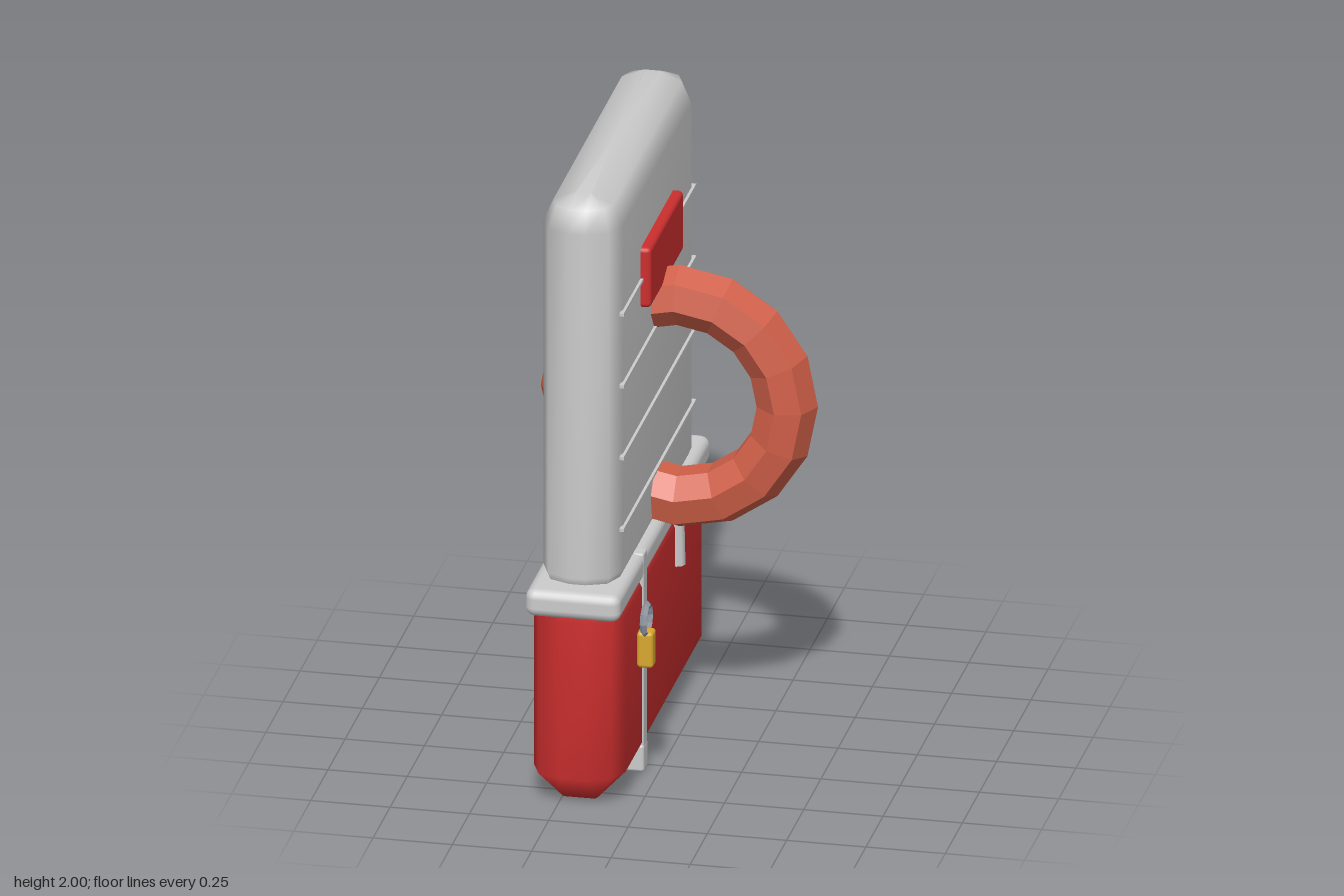
import * as THREE from 'three';
import { RoundedBoxGeometry } from 'three/addons/geometries/RoundedBoxGeometry.js';

const mat = (color, flatShading = false) => new THREE.MeshStandardMaterial({ color, flatShading });
const grey = mat(0xcccccc), red = mat(0xcc2e2e), clay = mat(0xcf5f48, true);
const gold = mat(0xd9a82e), steel = mat(0x969ba6, true);

// Rounded rectangle in x/z, two facets per corner
function outline(w, d, r) {
  const pts = [];
  for (let q = 0; q < 4; q++) {
    const sx = q === 0 || q === 3 ? 1 : -1, sz = q < 2 ? 1 : -1;
    for (let k = 0; k <= 2; k++) {
      const a = (q + k / 2) * Math.PI / 2;
      pts.push([sx * (w / 2 - r) + r * Math.cos(a), sz * (d / 2 - r) + r * Math.sin(a)]);
    }
  }
  return pts;
}

// Closed block lofted through [height, inset] levels, listed from bottom to top
function block(w, d, r, levels) {
  const pos = [], idx = [], n = 12;
  for (const [y, inset] of levels) {
    const ring = outline(w - 2 * inset, d - 2 * inset, Math.max(r - inset, 0.004));
    for (const [x, z] of ring) pos.push(x, y, z);
  }
  const last = levels.length - 1, bottom = n * levels.length;
  pos.push(0, levels[0][0], 0, 0, levels[last][0], 0);
  for (let j = 0; j < n; j++) {
    const k = (j + 1) % n;
    for (let i = 0; i < last; i++) {
      const a = i * n, b = a + n;
      idx.push(a + j, b + j, a + k, a + k, b + j, b + k);
    }
    idx.push(bottom, j, k, bottom + 1, last * n + k, last * n + j);
  }
  const g = new THREE.BufferGeometry();
  g.setAttribute('position', new THREE.Float32BufferAttribute(pos, 3));
  g.setIndex(idx);
  g.computeVertexNormals();
  return g;
}

export function createModel() {
  const group = new THREE.Group();
  const add = (name, geometry, material, x, y, z, parent = group) => {
    const m = new THREE.Mesh(geometry, material);
    m.name = name;
    m.position.set(x, y, z);
    parent.add(m);
    return m;
  };
  const rbox = (w, h, d, r) => new RoundedBoxGeometry(w, h, d, 2, r);
  const cx = -0.195;

  // Tall upper slab, red base and the rim between them
  add('upperBody', block(0.25, 1.2, 0.1, [[0.7, 0.02], [0.75, 0], [1.9, 0], [1.97, 0.03], [2, 0.1]]),
    grey, cx, 0, 0);
  add('lowerBody', block(0.29, 1.3, 0.1, [[0.004, 0.09], [0.1, 0], [0.62, 0], [0.66, 0.02]]),
    red, cx, 0, 0);
  add('rim', rbox(0.3, 0.09, 1.345, 0.03), grey, cx, 0.683, 0);

  // Thin raised lines across the slab face
  for (let i = 0; i < 4; i++)
    add('ridge', new THREE.BoxGeometry(0.014, 0.01, 1.06), grey, -0.068, 0.895 + 0.24 * i, 0);

  // Plate with two small brackets beneath it
  add('plate', rbox(0.05, 0.2, 0.485, 0.015), red, -0.063, 1.62, 0);
  for (const s of [-1, 1])
    add('bracket', new THREE.BoxGeometry(0.03, 0.06, 0.03), grey, -0.073, 1.518, s * 0.108);

  // Large faceted ring passing through the slab
  add('ring', new THREE.TorusGeometry(0.34, 0.097, 7, 16), clay, 0, 1.135, 0);

  // Band around the base and latch lever on the rim
  add('strap', rbox(0.302, 0.73, 0.054, 0.008), grey, cx, 0.365, 0.29);
  add('strapFoot', rbox(0.304, 0.09, 0.064, 0.01), grey, cx, 0.047, 0.29);
  const lever = add('lever', new THREE.CylinderGeometry(0.026, 0.024, 0.285, 8), grey, -0.05, 0.632, -0.19);
  lever.rotation.z = 0.03;

  // Padlock
  const padlock = new THREE.Group();
  padlock.name = 'padlock';
  padlock.position.set(0, 0.49, 0.482);
  group.add(padlock);
  add('lockBody', rbox(0.052, 0.12, 0.055, 0.012), gold, 0, 0, 0, padlock);
  add('shackle', new THREE.TorusGeometry(0.047, 0.011, 4, 10), steel, 0, 0.095, 0, padlock)
    .rotation.y = Math.PI / 2;

  return group;
}
